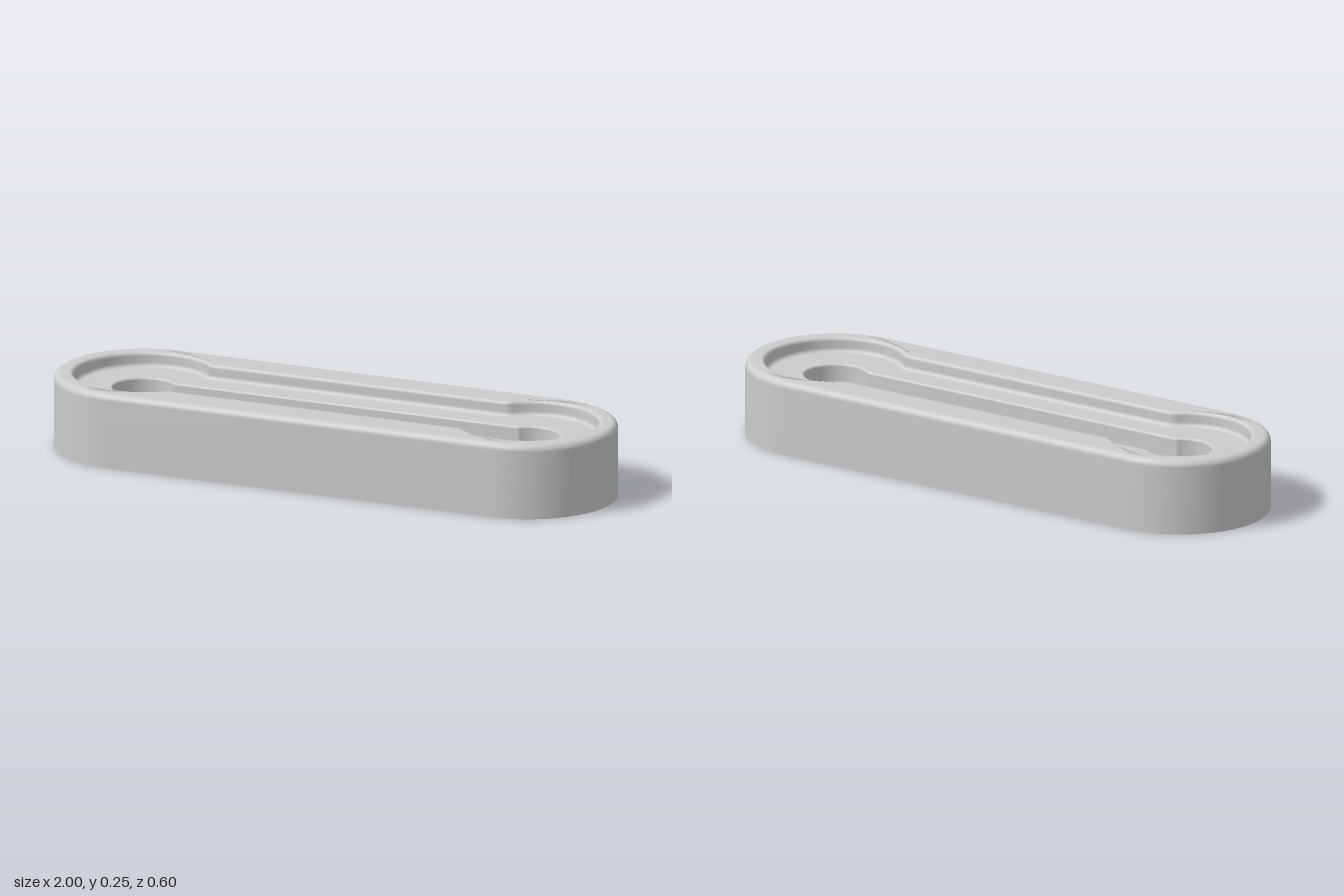
import * as THREE from 'three';

const END = 0.7;       // x of the round end centres
const ARC = 40;        // segments around each round end
const TOP = 0.255, SHELF = 0.205, FLOOR = 0.12;

const material = new THREE.MeshStandardMaterial({ color: 0xcccccc, side: THREE.DoubleSide });

// Closed loop: two round ends of radius r joined by a bar of half width h.
// With h equal to r it is a plain stadium.
function ring({ r, h, y, flat = 1 }) {
  const points = [];
  const sweep = Math.PI - Math.asin(Math.min(1, h / r));
  for (const side of [1, -1]) {
    for (let i = 0; i <= ARC; i++) {
      const a = sweep * (2 * i / ARC - 1);
      points.push(side * (END + r * Math.cos(a)), y, side * r * Math.sin(a) * flat);
    }
  }
  return points;
}

// Skin a stack of loops that share the same point count
function loft(name, sections) {
  const n = 2 * (ARC + 1);
  const index = [];
  for (let s = 0; s < sections.length - 1; s++) {
    for (let i = 0; i < n; i++) {
      const a = s * n + i, b = s * n + (i + 1) % n;
      index.push(a, a + n, b, b, a + n, b + n);
    }
  }
  const geometry = new THREE.BufferGeometry();
  geometry.setAttribute('position', new THREE.Float32BufferAttribute(sections.flatMap(ring), 3));
  geometry.setIndex(index);
  geometry.computeVertexNormals();
  const mesh = new THREE.Mesh(geometry, material);
  mesh.name = name;
  return mesh;
}

// Loop grown outwards by d from a base outline
const grow = (base, d, y) => ({ r: base.r + d, h: base.h + d, y });

// Quarter round over an upper edge, going inwards and down
function roundOver(base, y, f) {
  return [0, 1, 2, 3, 4].map(i => {
    const a = i * Math.PI / 8;
    return grow(base, f * (1 - Math.sin(a)), y - f * (1 - Math.cos(a)));
  });
}

// Quarter round from a wall into a floor, going down and inwards
function roundIn(base, y, f) {
  return [0, 1, 2, 3, 4].map(i => {
    const a = i * Math.PI / 8;
    return grow(base, -f * (1 - Math.cos(a)), y + f * (1 - Math.sin(a)));
  });
}

export function createModel() {
  const group = new THREE.Group();
  group.name = 'tray';

  const outer = { r: 0.3, h: 0.3 };
  const recess = { r: 0.235, h: 0.17 };
  const pit = { r: 0.105, h: 0.075 };

  // Outer wall, rounded top edge and flat rim; open underneath
  const edge = [0, 1, 2, 3, 4, 5].map(i => {
    const a = i * Math.PI / 10, f = 0.024;
    return grow(outer, -f * (1 - Math.cos(a)), TOP - f * (1 - Math.sin(a)));
  });
  group.add(loft('outerShell', [grow(outer, 0, 0), ...edge, grow(recess, 0.02, TOP)]));

  // Shallow recess with soft edges and a flat shelf
  group.add(loft('recessShelf', [
    grow(recess, 0.02, TOP),
    ...roundOver(recess, TOP, 0.012),
    ...roundIn(recess, SHELF, 0.015),
    grow(pit, 0.02, SHELF),
  ]));

  // Deep channel with round ends; the last loop closes the floor on its centre line
  group.add(loft('channel', [
    grow(pit, 0.02, SHELF),
    ...roundOver(pit, SHELF, 0.008),
    ...roundIn(pit, FLOOR, 0.018),
    { ...grow(pit, -0.018, FLOOR), flat: 0 },
  ]));

  return group;
}
